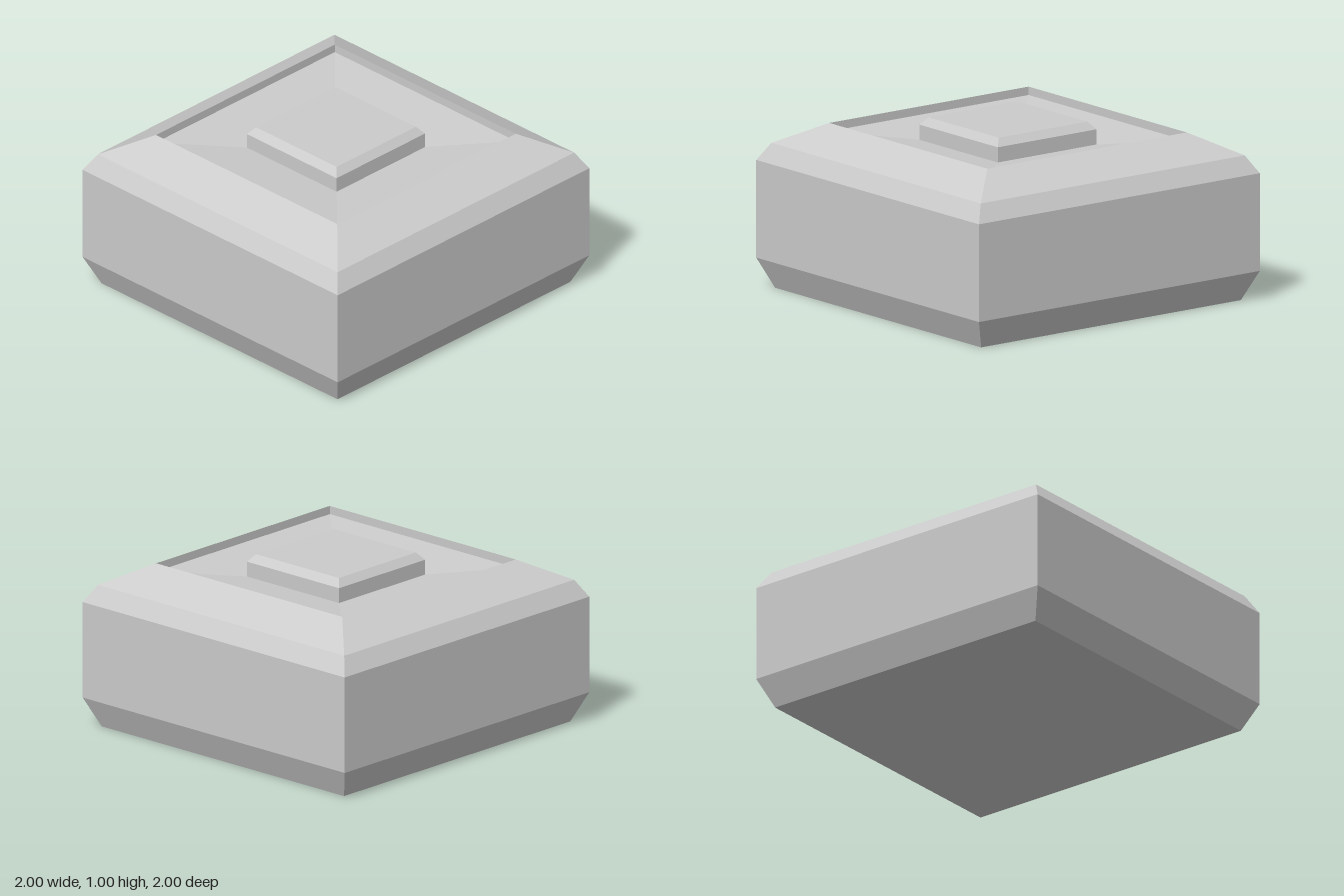
import * as THREE from 'three';

// Square solid swept from a [half-width, height] profile, listed from bottom to top
function squareLoft(name, profile, material) {
  const points = profile.map(([half, y]) => new THREE.Vector2(half * Math.SQRT2, y));
  const geometry = new THREE.LatheGeometry(points, 4, Math.PI / 4);
  const mesh = new THREE.Mesh(geometry, material);
  mesh.name = name;
  return mesh;
}

export function createModel() {
  const group = new THREE.Group();
  group.name = 'squareButtonBlock';
  const material = new THREE.MeshStandardMaterial({ color: 0xcccccc, flatShading: true });

  // Chamfered body with a recessed, slightly dished top
  group.add(squareLoft('body', [
    [0, 0],
    [0.925, 0],
    [1, 0.17],
    [1, 0.73],
    [0.94, 0.83],
    [0.71, 0.953],
    [0.71, 0.905],
    [0.352, 0.87],
    [0, 0.87],
  ], material));

  // Bevelled button standing in the recess
  group.add(squareLoft('button', [
    [0.352, 0.87],
    [0.352, 0.957],
    [0.315, 1],
    [0, 1],
  ], material));

  return group;
}
